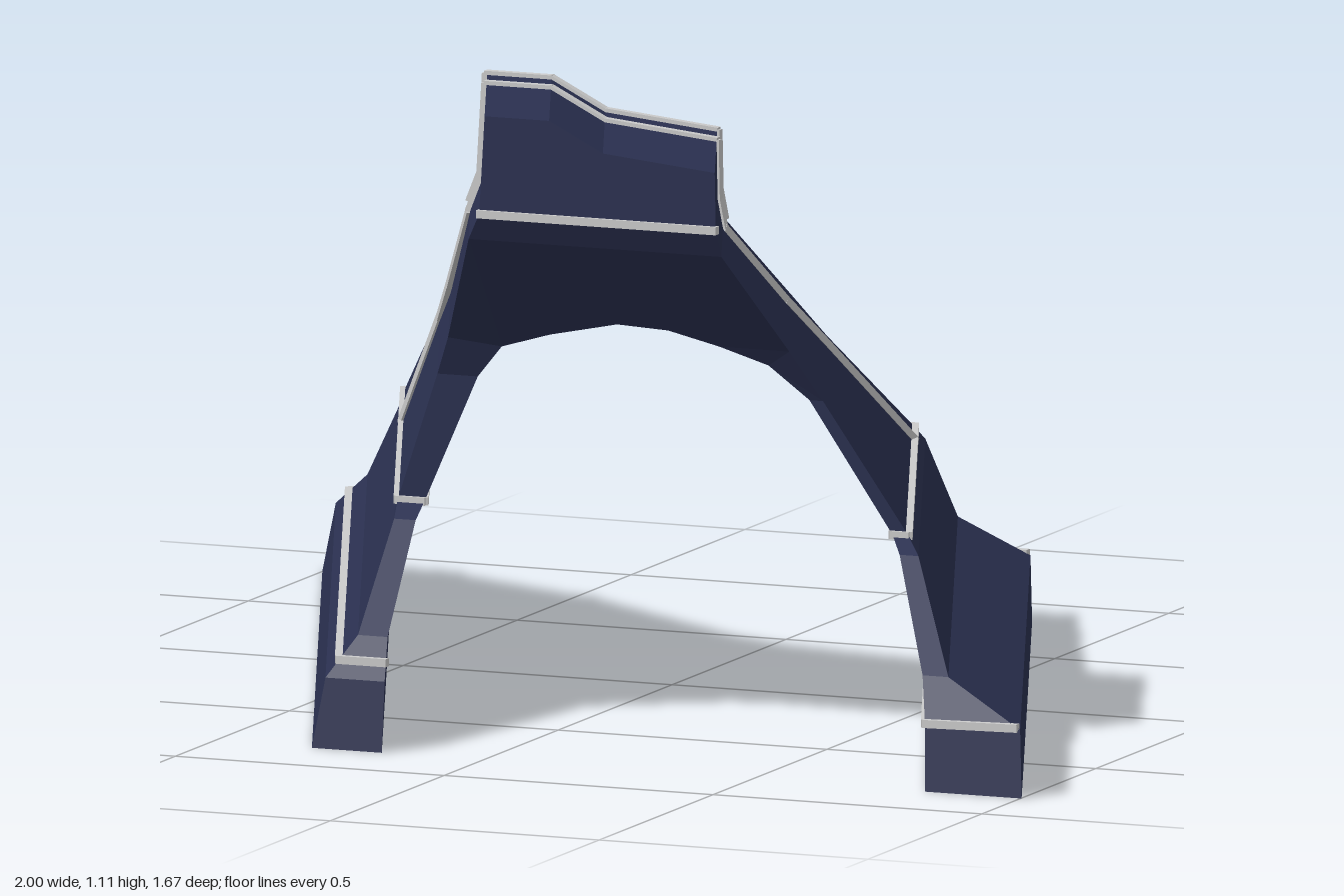
import * as THREE from 'three';

const navy = new THREE.MeshStandardMaterial({ color: 0x2a3050, flatShading: true, side: THREE.DoubleSide });
const grey = new THREE.MeshStandardMaterial({ color: 0xcccccc, flatShading: true });

// Front and back depth of the walls at each height: [y, z]
const FRONT = [[0, 0.83], [0.12, 0.81], [0.2, 0.76], [0.36, 0.57], [0.385, 0.52], [0.61, 0.53],
  [0.68, 0.56], [0.89, 0.71], [0.93, 0.73], [1.1, 0.73]];
const BACK = [[0, -0.83], [0.12, -0.83], [0.135, -0.81], [0.385, -0.5], [0.6, -0.1], [0.88, 0.33], [1.1, 0.33]];
const SHEAR = 0.412;

function sample(table, y) {
  for (let i = 1; i < table.length; i++) {
    const [y0, z0] = table[i - 1], [y1, z1] = table[i];
    if (y <= y1) return z0 + (z1 - z0) * (y - y0) / (y1 - y0);
  }
  return table[table.length - 1][1];
}

// Places a section point at a given depth; the whole arch is skewed along z
const atZ = (u, y, z) => new THREE.Vector3(u + SHEAR * z, y, z);
const front = ([u, y]) => atZ(u, y, sample(FRONT, y));
const back = ([u, y]) => atZ(u, y, sample(BACK, y));

// Solid band running between an outer and an inner line of section points
function band(name, outer, inner) {
  const pos = [];
  const quad = (a, b, c, d) => [a, b, c, a, c, d].forEach(p => pos.push(p.x, p.y, p.z));
  const rows = outer.map((o, i) => ({
    of: front(o), ob: back(o), nf: front(inner[i]), nb: back(inner[i]),
  }));
  for (let i = 1; i < rows.length; i++) {
    const a = rows[i - 1], b = rows[i];
    quad(a.of, b.of, b.ob, a.ob);
    quad(a.nf, b.nf, b.of, a.of);
    quad(a.nb, b.nb, b.nf, a.nf);
    quad(a.ob, b.ob, b.nb, a.nb);
  }
  const s = rows[0], e = rows[rows.length - 1];
  quad(s.nb, s.nf, s.of, s.ob);
  quad(e.nf, e.nb, e.ob, e.of);
  const geo = new THREE.BufferGeometry();
  geo.setAttribute('position', new THREE.Float32BufferAttribute(pos, 3));
  geo.computeVertexNormals();
  const mesh = new THREE.Mesh(geo, navy);
  mesh.name = name;
  return mesh;
}

// Thin square trim strip following a list of points
function trim(name, points, w = 0.014) {
  const group = new THREE.Group();
  group.name = name;
  for (let i = 1; i < points.length; i++) {
    const a = points[i - 1], b = points[i];
    const strip = new THREE.Mesh(new THREE.BoxGeometry(w, w, a.distanceTo(b) + w * 0.4), grey);
    strip.position.copy(a).add(b).multiplyScalar(0.5);
    strip.lookAt(b);
    strip.name = name + 'Strip';
    group.add(strip);
  }
  return group;
}

export function createModel() {
  const model = new THREE.Group();
  model.name = 'skewedArch';

  // Legs and arch: left foot, over the top, down to the right foot
  const outer = [[-0.66, 0], [-0.635, 0.12], [-0.575, 0.19], [-0.51, 0.36], [-0.504, 0.385], [-0.43, 0.61],
    [-0.41, 0.68], [-0.37, 0.88], [-0.12, 0.88], [0, 0.88], [0.1, 0.88], [0.225, 0.7], [0.287, 0.61],
    [0.446, 0.385], [0.465, 0.36], [0.523, 0.19], [0.657, 0.115], [0.66, 0]];
  const inner = [[-0.53, 0], [-0.525, 0.12], [-0.52, 0.19], [-0.47, 0.36], [-0.454, 0.385], [-0.355, 0.61],
    [-0.31, 0.67], [-0.22, 0.7], [-0.095, 0.73], [0, 0.725], [0.095, 0.7], [0.186, 0.67], [0.262, 0.61],
    [0.416, 0.385], [0.43, 0.36], [0.475, 0.19], [0.48, 0.115], [0.48, 0]];
  model.add(band('archAndLegs', outer, inner));

  // Crown: a neck below a stepped top block
  const neck = [[-0.37, 0.88], [-0.22, 0.88], [-0.12, 0.88], [0.1, 0.88]];
  const waist = [[-0.35, 0.93], [-0.22, 0.93], [-0.12, 0.93], [0.09, 0.93]];
  const top = [[-0.34, 1.1], [-0.22, 1.1], [-0.12, 1.05], [0.088, 1.03]];
  model.add(band('crownNeck', waist, neck), band('crownBlock', top, waist));

  // Trim around each leg at knee height
  for (const [name, o, n] of [['leftKneeTrim', outer[4], inner[4]], ['rightKneeTrim', outer[13], inner[13]]]) {
    model.add(trim(name, [front(o), front(n), back(n), back(o), front(o)]));
  }

  // Trim on the feet
  const lo = [-0.61, 0.15], ln = [-0.523, 0.15], ro = [0.65, 0.118], rn = [0.48, 0.115];
  model.add(trim('leftFootTrim', [back(ln), back(lo), front(lo), front(ln)]));
  model.add(trim('rightFootTrim', [front(ro), front(rn), back(rn), back(ro)]));

  // Trim across the front and back of the crown
  for (const side of [front, back]) {
    model.add(trim('crownWaistTrim', [side(waist[0]), side(waist[3])]));
  }
  // Hoops over the crown, at the back edge and slightly forward of it
  for (const z of [0.335, 0.43]) {
    model.add(trim('crownHoopTrim', [neck[0], waist[0], ...top, waist[3], neck[3]].map(([u, y]) => atZ(u, y, z))));
  }
  for (const [u, y] of [waist[0], waist[3]]) {
    model.add(trim('crownSideTrim', [atZ(u, y, 0.335), atZ(u, y, 0.43)]));
  }

  // Trim running down the outer faces near the back slope
  model.add(trim('rightSlopeTrim', [atZ(0.1, 0.88, 0.43), atZ(0.211, 0.72, 0.2), atZ(0.287, 0.61, 0), atZ(0.446, 0.385, -0.37)]));
  model.add(trim('leftSlopeTrim', [atZ(-0.37, 0.88, 0.43), atZ(-0.41, 0.7, 0.17), atZ(-0.43, 0.61, 0), atZ(-0.504, 0.385, -0.2)]));

  return model;
}
